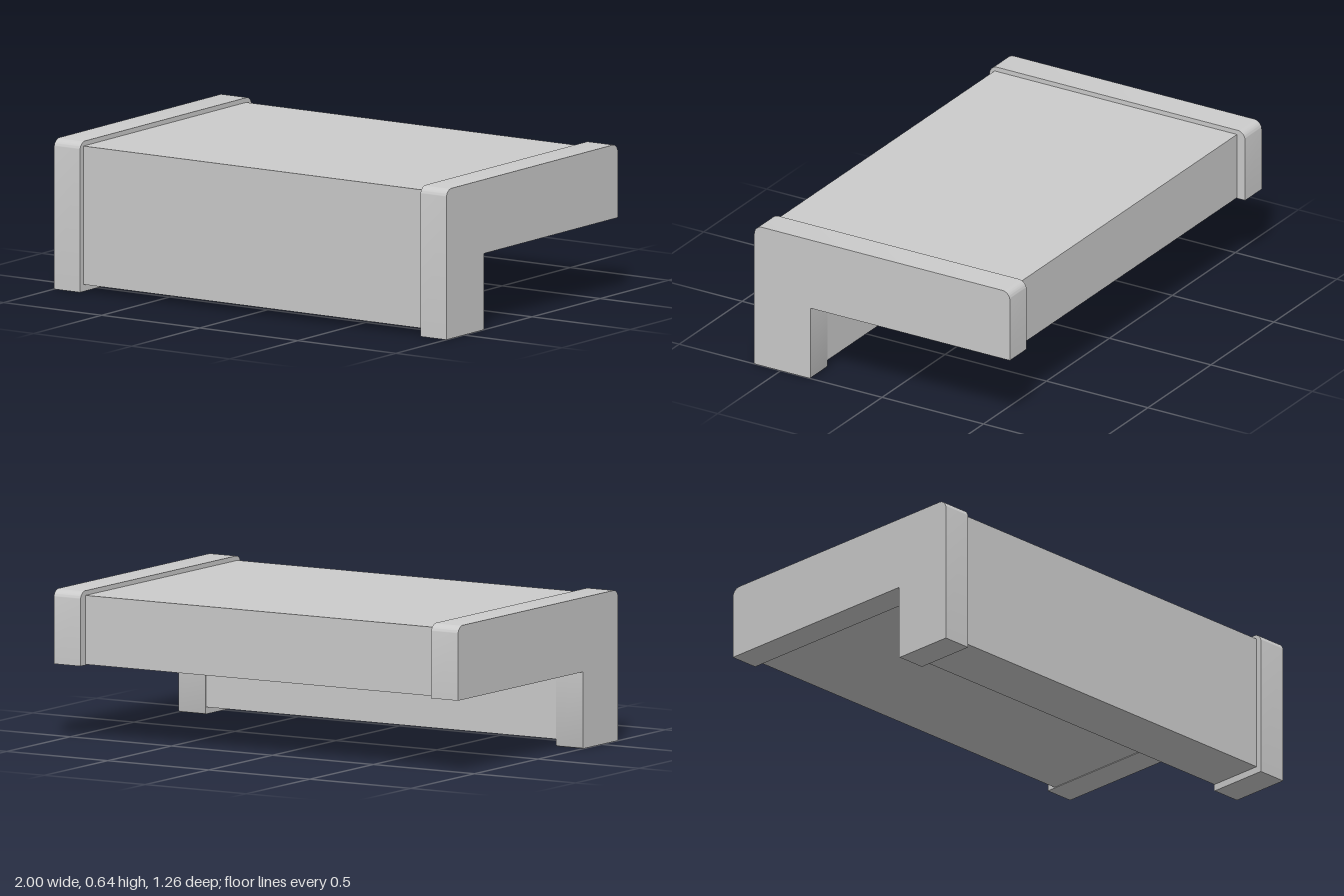
import * as THREE from 'three';
import { toCreasedNormals } from 'three/addons/utils/BufferGeometryUtils.js';

// L-shaped side profile (shape x = depth z, shape y = height), with rounded top corners
function profile({ front, back, legBack, bottom, under, top, radius, heel }) {
  const s = new THREE.Shape();
  s.moveTo(front, bottom);
  if (radius > 0) {
    s.lineTo(front, top - radius);
    s.absarc(front - radius, top - radius, radius, 0, Math.PI / 2, false);
    s.lineTo(back + radius, top);
    s.absarc(back + radius, top - radius, radius, Math.PI / 2, Math.PI, false);
  } else {
    s.lineTo(front, top);
    s.lineTo(back, top);
  }
  s.lineTo(back, under);
  s.lineTo(legBack, under);
  if (heel > 0) {
    s.lineTo(legBack, bottom + heel);
    s.quadraticCurveTo(legBack, bottom, legBack + heel, bottom);
  } else {
    s.lineTo(legBack, bottom);
  }
  s.closePath();
  return s;
}

// Extrude a profile across the width, centred on x
function slab(name, options, width, x) {
  let g = new THREE.ExtrudeGeometry(profile(options), { depth: width, bevelEnabled: false, curveSegments: 8 });
  g.translate(0, 0, -width / 2);
  g.rotateY(-Math.PI / 2);
  g = toCreasedNormals(g, Math.PI / 6);
  const mesh = new THREE.Mesh(g, new THREE.MeshStandardMaterial({ color: 0xcccccc }));
  mesh.name = name;
  mesh.position.x = x;
  return mesh;
}

export function createModel() {
  const group = new THREE.Group();
  group.name = 'steppedBlock';

  // Main body, slightly recessed between the end caps
  group.add(slab('body', {
    front: 0.605, back: -0.59, legBack: 0.355, bottom: 0.03, under: 0.328, top: 0.62, radius: 0, heel: 0,
  }, 1.74, 0));

  // Raised end caps
  const cap = {
    front: 0.63, back: -0.63, legBack: 0.352, bottom: 0, under: 0.325, top: 0.64, radius: 0.038, heel: 0.008,
  };
  for (const side of [1, -1]) {
    group.add(slab(side > 0 ? 'leftEndCap' : 'rightEndCap', cap, 0.132, side * 0.934));
  }
  return group;
}
